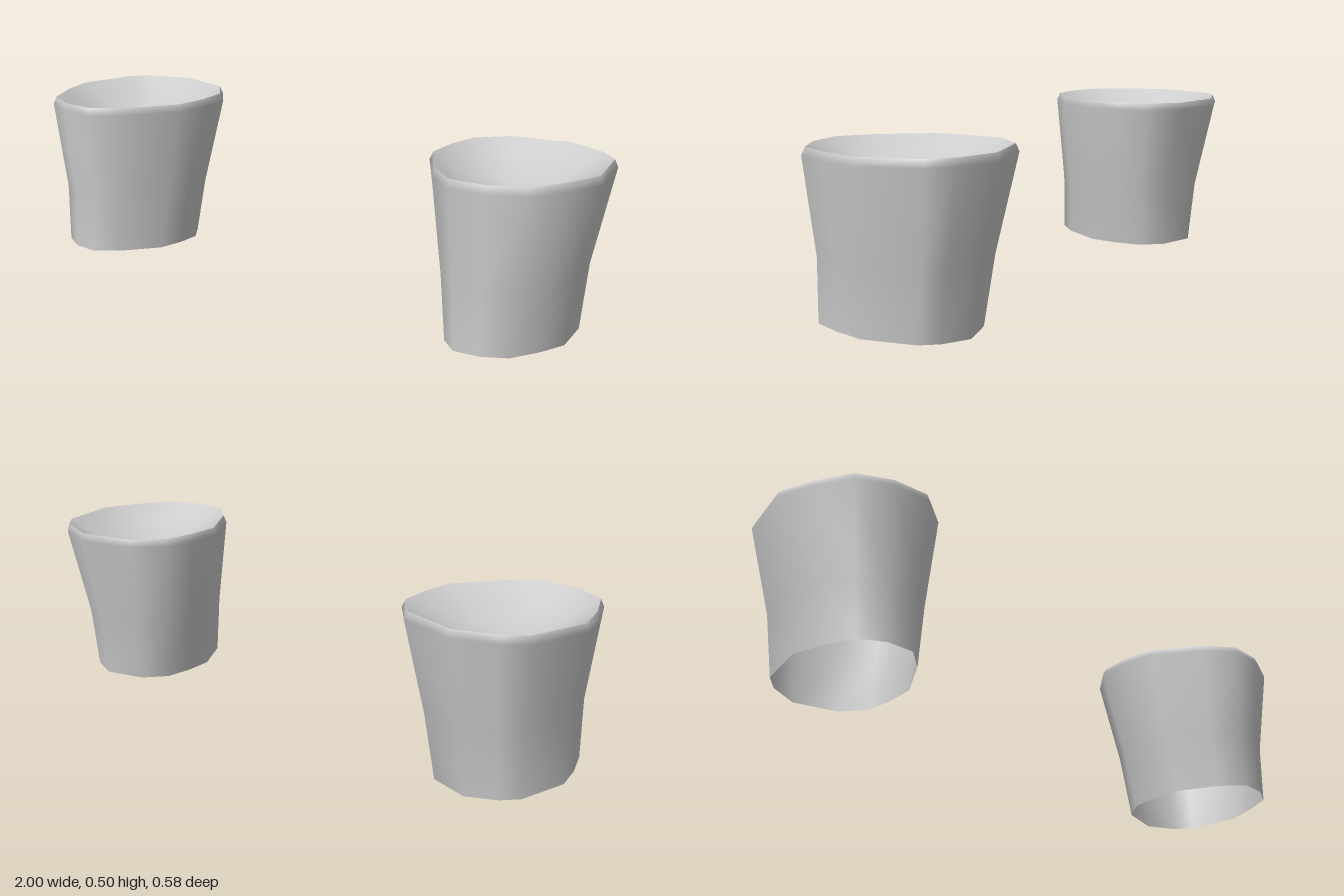
import * as THREE from 'three';

const material = new THREE.MeshStandardMaterial({ color: 0xcccccc, side: THREE.DoubleSide });

// Outline of the widest ring, as x, z pairs
const outline = [
  [0.754, -0.289], [0.885, -0.243], [0.95, -0.187], [1.0, 0], [0.963, 0.112], [0.904, 0.225], [0.8, 0.275],
  [0.684, 0.282], [0.59, 0.21], [0.484, 0.06], [0.476, -0.05], [0.488, -0.155], [0.567, -0.243],
];

// Ring fitted into a box: x from x0 to x1, z from z0 to z1
function ring(y, x0, x1, z0, z1) {
  return outline.map(([x, z]) => new THREE.Vector3(
    x0 + (x - 0.476) / 0.524 * (x1 - x0), y, z0 + (z + 0.289) / 0.571 * (z1 - z0)));
}

// Smooth skin through a stack of closed rings; side = -1 mirrors it
function loft(rings, side) {
  const n = outline.length, index = [];
  const points = rings.flat().map((p) => new THREE.Vector3(p.x * side, p.y, p.z));
  for (let r = 0; r < rings.length - 1; r++) {
    for (let i = 0; i < n; i++) {
      const a = r * n + i, b = r * n + (i + 1) % n, c = a + n, d = b + n;
      if (side > 0) index.push(a, c, b, b, c, d);
      else index.push(a, b, c, b, d, c);
    }
  }
  const geometry = new THREE.BufferGeometry().setFromPoints(points);
  geometry.setIndex(index);
  geometry.computeVertexNormals();
  return geometry;
}

function makeCuff(side) {
  const cuff = new THREE.Group();
  cuff.name = side > 0 ? 'leftCuff' : 'rightCuff';

  // Flared wall with a slightly slanted lower edge and a bevelled rim
  const bottom = ring(0, 0.562, 0.927, -0.2, 0.266);
  for (const p of bottom) p.y = Math.max(0, 0.006 + 0.03 * p.z + 0.02 * (p.x - 0.75));
  const rim = ring(0.503, 0.486, 0.99, -0.28, 0.276);
  const wall = new THREE.Mesh(loft([
    bottom,
    ring(0.2, 0.529, 0.944, -0.225, 0.262),
    ring(0.48, 0.476, 1.0, -0.289, 0.286),
    rim,
  ], side), material);
  wall.name = 'cuffWall';

  // Hollow dish closing the top
  const center = new THREE.Vector3(0.74, 0.503, 0);
  const dishRings = [1, 0.75, 0.5, 0.25, 0.02].map((s) => rim.map((p) => {
    const q = center.clone().lerp(p, s);
    q.y = 0.503 - 0.1 * (1 - s * s);
    return q;
  }));
  const dish = new THREE.Mesh(loft(dishRings, side), material);
  dish.name = 'cuffDish';

  cuff.add(wall, dish);
  return cuff;
}

export function createModel() {
  const model = new THREE.Group();
  model.name = 'cuffPair';
  for (const side of [1, -1]) model.add(makeCuff(side));
  return model;
}
